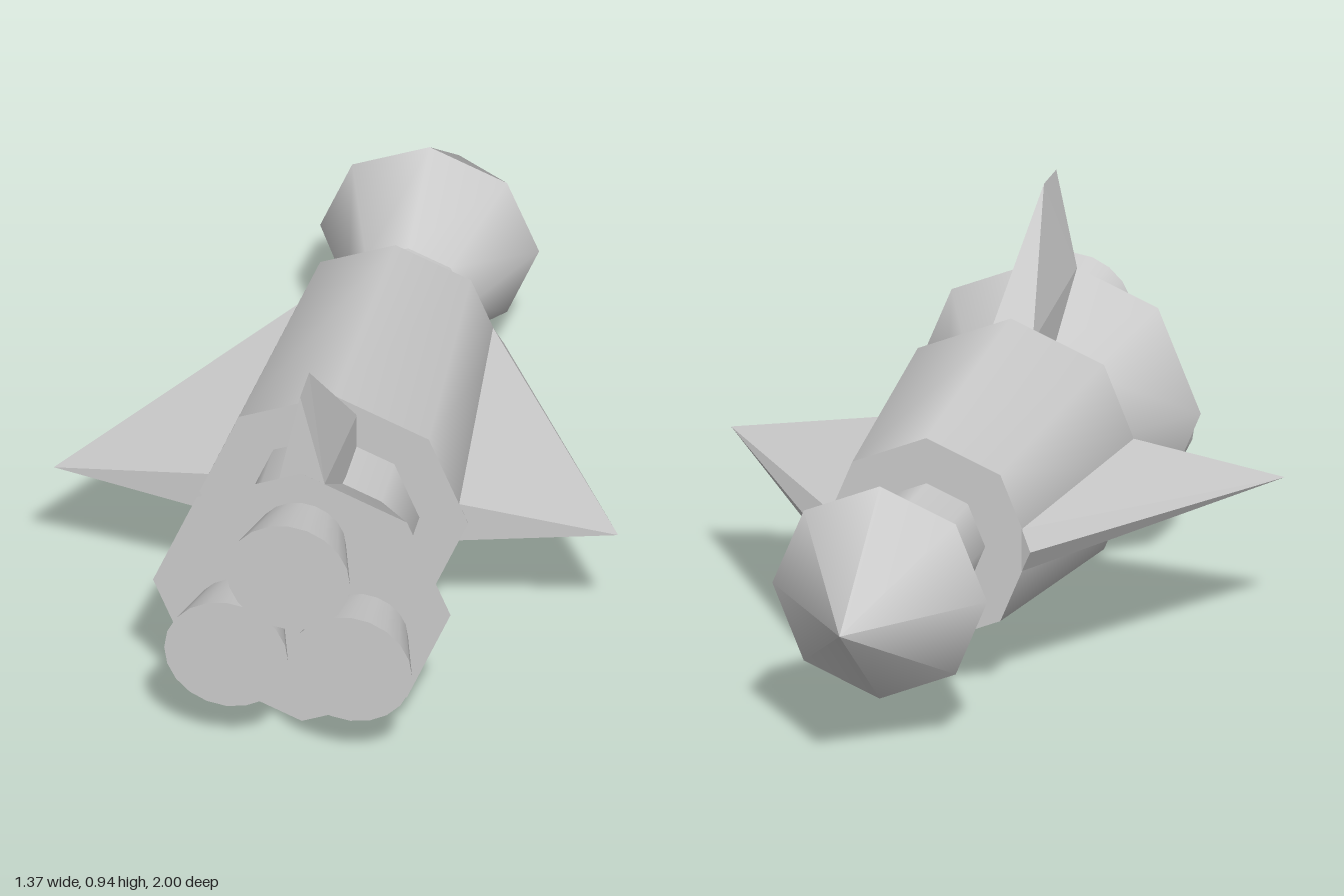
import * as THREE from 'three';
import { ConvexGeometry } from 'three/addons/geometries/ConvexGeometry.js';

const AXIS_Y = 0.363; // height of the hull's long axis

export function createModel() {
  const ship = new THREE.Group();
  ship.name = 'spaceship';
  const smooth = new THREE.MeshStandardMaterial({ color: 0xcccccc });
  const flat = new THREE.MeshStandardMaterial({ color: 0xcccccc, flatShading: true });

  function add(name, geometry, material) {
    const mesh = new THREE.Mesh(geometry, material);
    mesh.name = name;
    ship.add(mesh);
  }

  // Tapered section along z, from radius rA at zA to radius rB at zB (zA < zB)
  function section(name, zA, rA, zB, rB, sides = 8, x = 0, y = AXIS_Y, open = false) {
    const g = new THREE.CylinderGeometry(rB, rA, zB - zA, sides, 1, open);
    g.rotateX(Math.PI / 2);
    g.translate(x, y, (zA + zB) / 2);
    add(name, g, smooth);
  }

  // Solid spanned by corner points
  function solid(name, points) {
    add(name, new ConvexGeometry(points.map(p => new THREE.Vector3(...p))), flat);
  }

  // Octagonal hull, nose to tail
  section('noseCone', -1, 0, -0.655, 0.265, 8, 0, AXIS_Y, true);
  section('noseFlare', -0.655, 0.265, -0.405, 0.145, 8, 0, AXIS_Y, true);
  section('neck', -0.405, 0.145, -0.2, 0.145, 8, 0, AXIS_Y, true);
  section('barrel', -0.257, 0.258, 0.465, 0.325);
  section('rearNeck', 0.4, 0.207, 0.62, 0.207, 8, 0, AXIS_Y, true);
  section('tailFlare', 0.62, 0.207, 0.84, 0.36);

  // Three flared thrusters
  for (const [name, x, y] of [['topThruster', 0, 0.531], ['leftThruster', 0.15, 0.287], ['rightThruster', -0.15, 0.287]]) {
    section(name, 0.83, 0.104, 1, 0.15, 20, x, y);
  }

  // Side wings: thick root on the barrel, sharp outer edge
  const t = 0.053;
  for (const s of [1, -1]) {
    solid(s > 0 ? 'leftWing' : 'rightWing', [
      [s * 0.235, AXIS_Y + t, -0.257], [s * 0.235, AXIS_Y - t, -0.257],
      [s * 0.302, AXIS_Y + t, 0.465], [s * 0.302, AXIS_Y - t, 0.465],
      [s * 0.26, AXIS_Y, -0.27], [s * 0.683, AXIS_Y, 0.44],
    ]);
  }

  // Tail fin: wide base tapering to a thin top edge, with a sloped leading face
  const fin = [[-0.005, 0.94, 0.73], [-0.005, 0.942, 0.835]];
  for (const s of [1, -1]) {
    fin.push([s * 0.055, 0.52, 0.46], [s * 0.055, 0.635, 0.46],
      [s * 0.055, 0.7, 0.839], [s * 0.055, 0.6, 0.839]);
  }
  solid('tailFin', fin);

  return ship;
}
